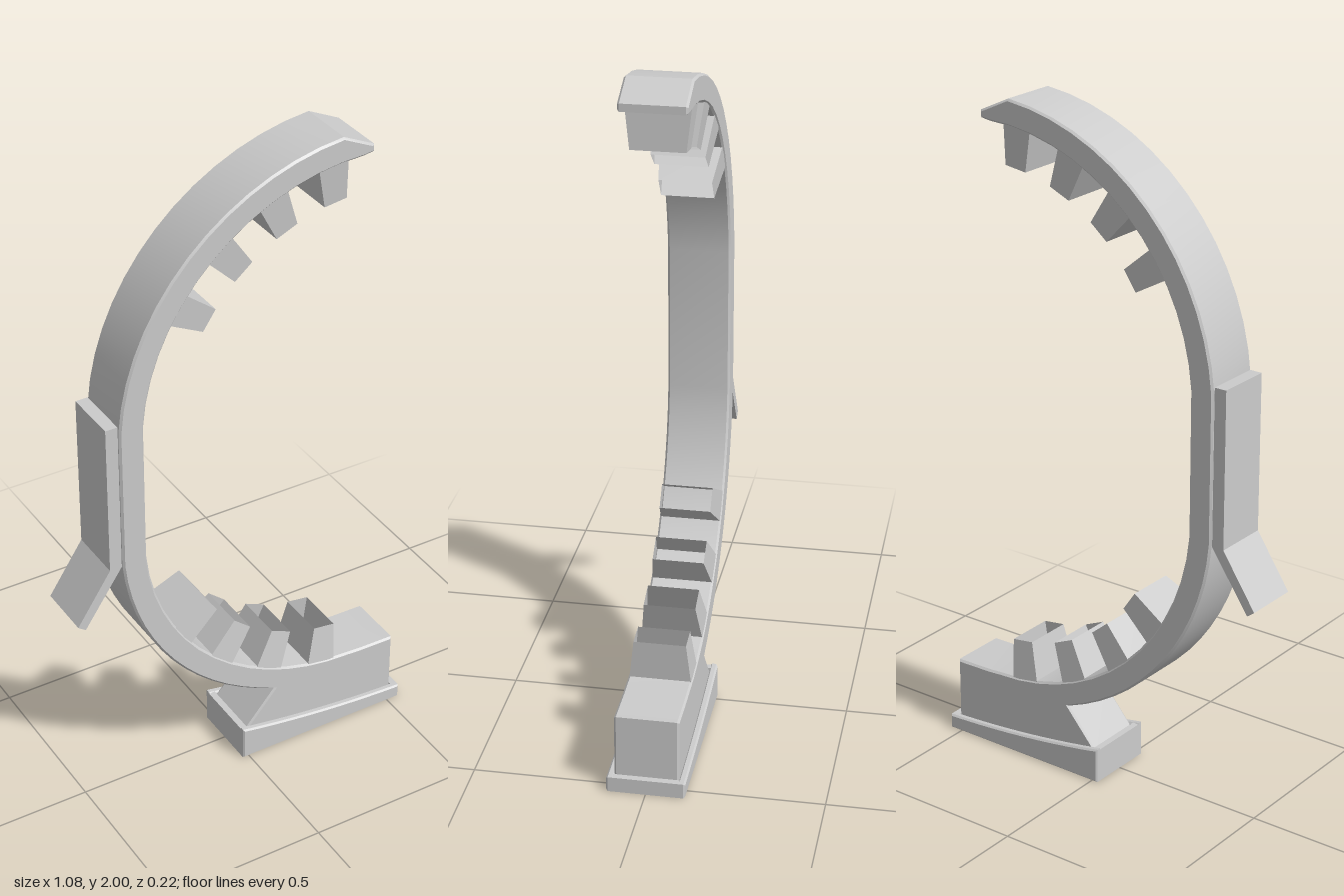
import * as THREE from 'three';
import { toCreasedNormals } from 'three/addons/utils/BufferGeometryUtils.js';

const CX = 0.36, TOP_Y = 1.24, LOW_Y = 0.92; // centres of the two arcs
const OUTER = 0.76, INNER = 0.685;
const rad = THREE.MathUtils.degToRad;
const polar = (cy, r, deg) => [CX + r * Math.cos(rad(deg)), cy + r * Math.sin(rad(deg))];

function arc(cy, r, from, to, n = 14) {
  const pts = [];
  for (let i = 0; i <= n; i++) pts.push(polar(cy, r, from + (to - from) * i / n));
  return pts;
}

// Extrudes an outline between two z values with a small chamfer
function slab(name, pts, z0, z1, bevel, material) {
  const shape = new THREE.Shape(pts.map(([x, y]) => new THREE.Vector2(x, y)));
  const geo = new THREE.ExtrudeGeometry(shape, {
    depth: z1 - z0 - 2 * bevel, bevelEnabled: bevel > 0, bevelThickness: bevel,
    bevelSize: bevel, bevelOffset: -bevel, bevelSegments: 1,
  });
  geo.translate(0, 0, z0 + bevel);
  const mesh = new THREE.Mesh(toCreasedNormals(geo, 0.5), material);
  mesh.name = name;
  return mesh;
}

// Upper edge of the base skirt, sagging from left to right
function sag(x0, x1, lift, n = 10) {
  const pts = [];
  for (let i = 0; i <= n; i++) {
    const x = x0 + (x1 - x0) * i / n, t = (0.54 - x) / 0.56;
    pts.push([x, 0.045 + lift + 0.02 * t + 0.043 * t * t]);
  }
  return pts;
}

// Tapered socket, open at its narrow end
function socketGeometry() {
  const length = 0.125;
  const geo = new THREE.CylinderGeometry(Math.SQRT1_2, Math.SQRT1_2, length, 4, 1, true, Math.PI / 4).toNonIndexed();
  const p = geo.attributes.position;
  for (let i = 0; i < p.count; i++) {
    const end = p.getY(i) > 0;
    p.setX(i, p.getX(i) * (end ? 0.07 : 0.092));
    p.setZ(i, p.getZ(i) * (end ? 0.15 : 0.178));
  }
  geo.translate(0, -length / 2, 0);
  geo.computeVertexNormals();
  return geo;
}

export function createModel() {
  const model = new THREE.Group();
  model.name = 'curvedStand';
  const grey = new THREE.MeshStandardMaterial({ color: 0xcccccc });
  const thin = new THREE.MeshStandardMaterial({ color: 0xcccccc, side: THREE.DoubleSide, flatShading: true });

  // C-shaped arm with its foot, as one outline
  model.add(slab('curvedArm', [
    [0.39, 1.93], [0.39, 1.952],
    ...arc(TOP_Y, OUTER, 95, 175.5),
    ...arc(LOW_Y, OUTER, 184.5, 250),
    ...sag(0.0, 0.52, -0.015),
    [0.52, 0.23], [0.4, 0.232],
    ...arc(LOW_Y, INNER, 270, 184.5),
    ...arc(TOP_Y, INNER, 175.5, 90),
  ], -0.092, 0.092, 0.006, grey));

  // Back plate with its angled fin
  model.add(slab('backPlate', [
    [-0.435, 1.32], [-0.435, 0.855], [-0.54, 0.697], [-0.517, 0.68], [-0.398, 0.855], [-0.398, 1.32],
  ], -0.085, 0.083, 0, grey));

  // Hollow base skirt: two curved side walls and two end walls
  const skirt = new THREE.Group();
  skirt.name = 'baseSkirt';
  const wall = [[-0.02, 0], [0.54, 0], ...sag(-0.02, 0.54, 0).reverse()];
  skirt.add(slab('frontWall', wall, 0.09, 0.112, 0.005, grey));
  skirt.add(slab('backWall', wall, -0.112, -0.09, 0.005, grey));
  for (const [name, x, h] of [['leftEnd', 0.53, 0.045], ['rightEnd', -0.01, 0.104]]) {
    const end = new THREE.Mesh(new THREE.BoxGeometry(0.02, h, 0.212), grey);
    end.name = name;
    end.position.set(x, h / 2, 0);
    skirt.add(end);
  }
  model.add(skirt);

  // Sockets along the inside, mirrored between upper and lower arcs
  const socketGeo = socketGeometry();
  for (const deg of [98, 114, 130, 146]) {
    for (const [cy, a, name] of [[TOP_Y, deg, 'upperSocket'], [LOW_Y, -deg, 'lowerSocket']]) {
      const socket = new THREE.Mesh(socketGeo, thin);
      const [x, y] = polar(cy, 0.566, a);
      socket.name = name;
      socket.position.set(x, y, 0);
      socket.rotation.z = rad(a + 90);
      model.add(socket);
    }
  }
  return model;
}
